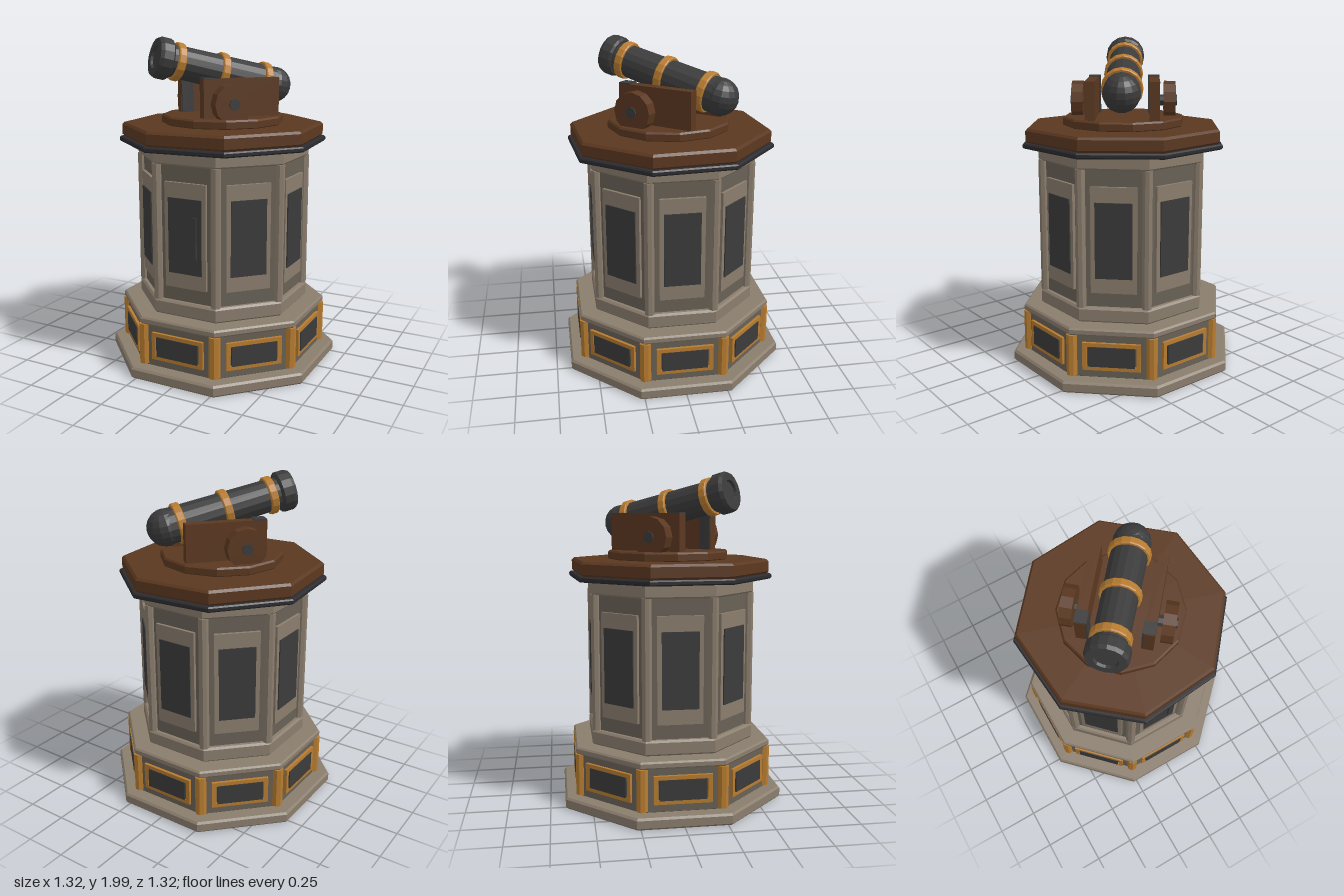
import * as THREE from 'three';

const mat = (name, color) => Object.assign(new THREE.MeshStandardMaterial({ color }), { name });
const COS8 = Math.cos(Math.PI / 8);

export function createModel() {
  const stone = mat('stone', 0x8a7d6d);
  const wall = mat('shadedStone', 0x686156);
  const wood = mat('wood', 0x5b3820);
  const brass = mat('brass', 0xb87c30);
  const iron = mat('iron', 0x3b3b3b);
  const rim = mat('darkRim', 0x2c2c30);

  const model = new THREE.Group();

  // Faceted mesh with hard edges
  function add(parent, name, geometry, material, x = 0, y = 0, z = 0) {
    const g = geometry.index ? geometry.toNonIndexed() : geometry;
    g.computeVertexNormals();
    const mesh = new THREE.Mesh(g, material);
    mesh.name = name;
    mesh.position.set(x, y, z);
    parent.add(mesh);
    return mesh;
  }
  const box = (w, h, d) => new THREE.BoxGeometry(w, h, d);
  const lathe = (pts, sides, phi = 0) =>
    new THREE.LatheGeometry(pts.map(p => new THREE.Vector2(p[0], p[1])), sides, phi);

  // Chamfered solid slab between two heights
  const slab = (r, y0, y1, c, sides = 8, phi = Math.PI / 8) => lathe(
    [[0, y0], [r - c, y0], [r, y0 + c], [r, y1 - c], [r - c, y1], [0, y1]], sides, phi);
  const octagon = (name, apothem, y0, y1, c, material) =>
    add(model, name, slab(apothem / COS8, y0, y1, c), material);

  // Rectangular frame with an opening, facing +z
  function frame(w, h, border, depth) {
    const s = new THREE.Shape();
    s.moveTo(-w / 2, -h / 2).lineTo(w / 2, -h / 2).lineTo(w / 2, h / 2).lineTo(-w / 2, h / 2).closePath();
    const a = w / 2 - border, b = h / 2 - border;
    const hole = new THREE.Path();
    hole.moveTo(-a, -b).lineTo(-a, b).lineTo(a, b).lineTo(a, -b).closePath();
    s.holes.push(hole);
    return new THREE.ExtrudeGeometry(s, { depth, bevelEnabled: false });
  }

  // Pedestal tiers
  octagon('plinth', 0.66, 0, 0.07, 0.012, stone);
  octagon('lowerBand', 0.575, 0.07, 0.33, 0.002, wall);
  octagon('lowerCap', 0.592, 0.328, 0.372, 0.01, stone);
  octagon('columnFoot', 0.49, 0.37, 0.462, 0.012, stone);
  octagon('columnBody', 0.46, 0.46, 1.28, 0.002, wall);
  octagon('columnCollar', 0.487, 1.277, 1.36, 0.01, stone);

  // Panels and corner posts on each of the eight sides
  for (let i = 0; i < 8; i++) {
    const side = new THREE.Group();
    side.name = 'side' + (i + 1);
    side.rotation.y = i * Math.PI / 4;
    model.add(side);
    add(side, 'lowerFrame', frame(0.34, 0.168, 0.025, 0.02), brass, 0, 0.203, 0.572);
    add(side, 'lowerPanel', box(0.275, 0.122, 0.024), iron, 0, 0.203, 0.584);
    add(side, 'upperFrame', box(0.268, 0.63, 0.02), stone, 0, 0.865, 0.468);
    add(side, 'upperPanel', box(0.216, 0.45, 0.008), iron, 0, 0.865, 0.481);
    const corner = new THREE.Group();
    corner.name = 'corner';
    corner.rotation.y = Math.PI / 8;
    side.add(corner);
    add(corner, 'brassPost', new THREE.CylinderGeometry(0.034, 0.034, 0.25, 8), brass, 0, 0.203, 0.61);
    add(corner, 'stonePost', new THREE.CylinderGeometry(0.03, 0.03, 0.82, 8), stone, 0, 0.87, 0.5);
  }
  add(model, 'doorHandle', box(0.02, 0.25, 0.02), iron, 0.07, 0.86, 0.488);

  // Slightly turned deck on a dark rim
  const deck = new THREE.Group();
  deck.name = 'deck';
  deck.rotation.y = 0.09;
  model.add(deck);
  add(deck, 'deckRim', slab(0.632, 1.358, 1.39, 0.008), rim);
  add(deck, 'deckTop', slab(0.614, 1.388, 1.475, 0.014), wood);
  add(model, 'turntable', slab(0.37, 1.47, 1.527, 0.01, 12, 0), wood);

  // Carriage, with local +z towards the muzzle
  const carriage = new THREE.Group();
  carriage.name = 'carriage';
  carriage.rotation.y = -0.698;
  model.add(carriage);
  for (const s of [-1, 1]) {
    add(carriage, 'cheek', box(0.06, 0.23, 0.48), wood, s * 0.187, 1.635, -0.03);
    add(carriage, 'ironCap', box(0.07, 0.008, 0.075), iron, s * 0.184, 1.752, 0.17);
    add(carriage, 'ironPost', box(0.012, 0.225, 0.075), iron, s * 0.154, 1.637, 0.17);
    const wheel = new THREE.CylinderGeometry(0.118, 0.118, 0.07, 12).rotateZ(Math.PI / 2);
    add(carriage, 'wheel', wheel, wood, s * 0.28, 1.612, 0.062);
    const hub = new THREE.CylinderGeometry(0.034, 0.034, 0.12, 8).rotateZ(Math.PI / 2);
    add(carriage, 'hub', hub, iron, s * 0.265, 1.612, 0.062);
  }

  // Barrel, raised towards the muzzle
  const barrel = new THREE.Group();
  barrel.name = 'barrel';
  barrel.position.set(0, 1.69, -0.34);
  barrel.rotation.x = -0.235;
  carriage.add(barrel);
  const turned = (name, pts, material) =>
    add(barrel, name, lathe(pts, 16).rotateX(Math.PI / 2), material);
  add(barrel, 'breech', new THREE.SphereGeometry(0.11, 14, 10), iron);
  turned('tube', [[0, 0], [0.107, 0], [0.095, 0.73], [0, 0.73]], iron);
  turned('muzzle', [[0.09, 0.7], [0.108, 0.7], [0.121, 0.712], [0.121, 0.77],
    [0.11, 0.79], [0.068, 0.79], [0.062, 0.775], [0, 0.775]], iron);
  for (const [t, r] of [[0.085, 0.122], [0.37, 0.117], [0.652, 0.113]]) {
    turned('band', [[0.09, t - 0.024], [r - 0.005, t - 0.024], [r, t - 0.018],
      [r, t + 0.018], [r - 0.005, t + 0.024], [0.09, t + 0.024]], brass);
  }
  return model;
}
